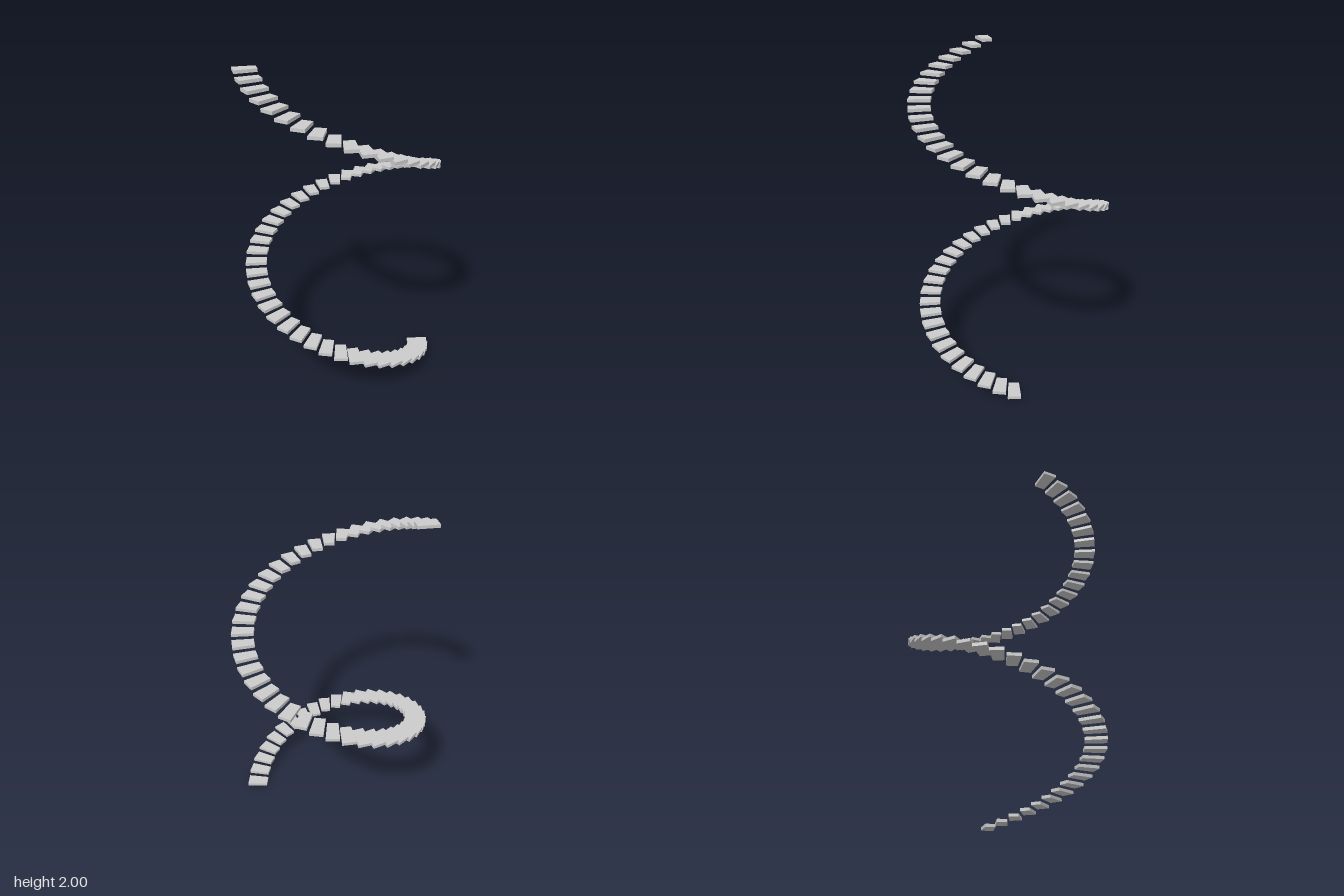
import * as THREE from 'three';

const STEPS = 60;
const THICKNESS = 0.02;
const RISE = (2 - THICKNESS) / (STEPS - 1);
const START = THREE.MathUtils.degToRad(3.6);
const TURN = THREE.MathUtils.degToRad(8.87);

// Wedge-shaped tread, narrow towards the axis, lying flat with its base on y = 0
function treadGeometry(inner, outer, innerWidth, outerWidth) {
  const shape = new THREE.Shape([
    new THREE.Vector2(inner, -innerWidth / 2),
    new THREE.Vector2(outer, -outerWidth / 2),
    new THREE.Vector2(outer, outerWidth / 2),
    new THREE.Vector2(inner, innerWidth / 2),
  ]);
  return new THREE.ExtrudeGeometry(shape, { depth: THICKNESS, bevelEnabled: false })
    .rotateX(-Math.PI / 2);
}

export function createModel() {
  const staircase = new THREE.Group();
  staircase.name = 'spiralStaircase';
  const material = new THREE.MeshStandardMaterial({ color: 0xcccccc, flatShading: true });
  const geometry = treadGeometry(0.477, 0.612, 0.066, 0.083);

  // Treads climb round the axis from the left side through the front
  for (let i = 0; i < STEPS; i++) {
    const tread = new THREE.Mesh(geometry, material);
    tread.name = `tread${i + 1}`;
    tread.position.y = i * RISE;
    tread.rotation.y = -(START + i * TURN);
    staircase.add(tread);
  }
  return staircase;
}
